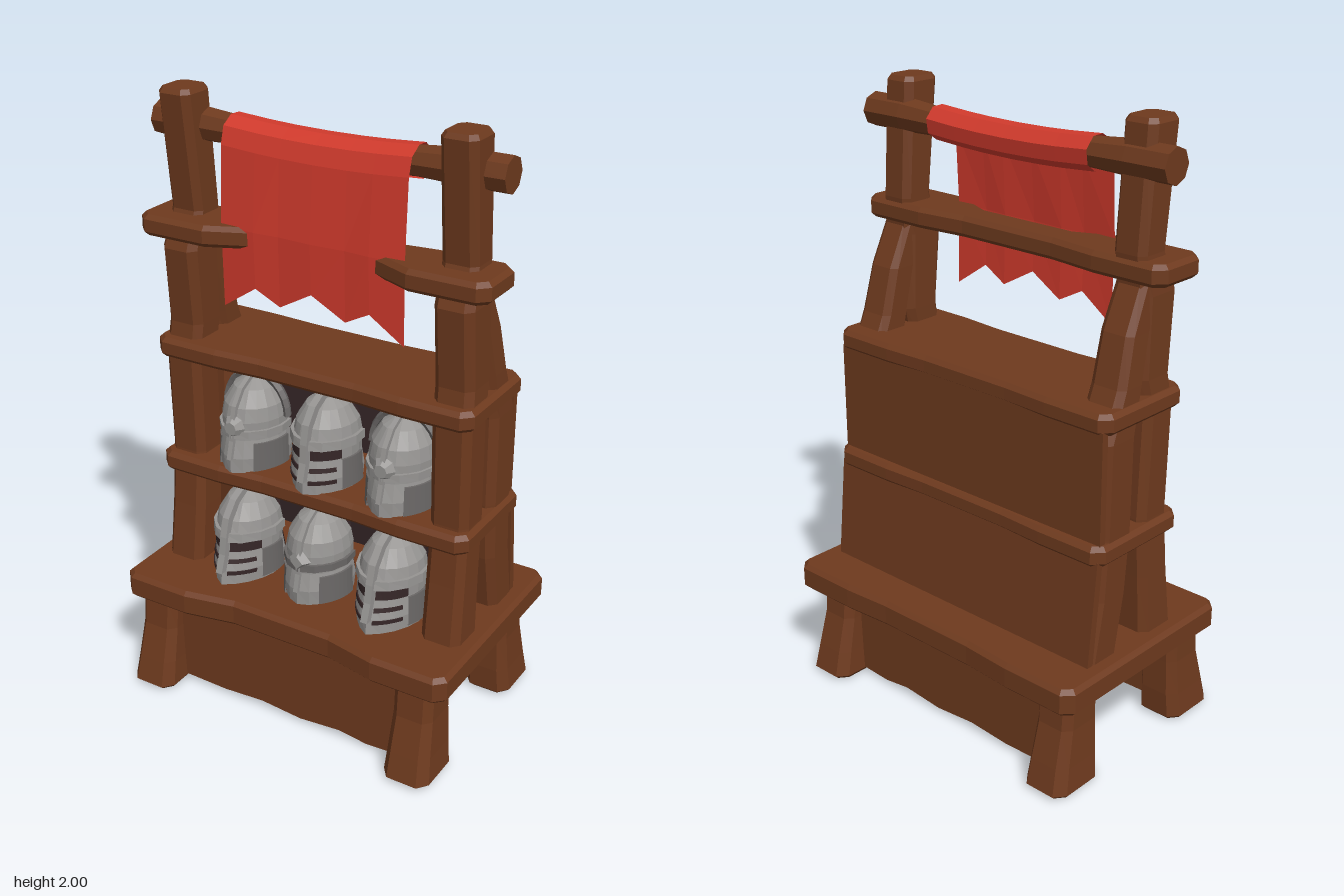
import * as THREE from 'three';

const wood = new THREE.MeshStandardMaterial({ color: 0x6e3a1e });
const cloth = new THREE.MeshStandardMaterial({ color: 0xd03a2c, side: THREE.DoubleSide });
const steel = new THREE.MeshStandardMaterial({ color: 0x969492, side: THREE.DoubleSide });
const darkSteel = new THREE.MeshStandardMaterial({ color: 0x6a6766, side: THREE.DoubleSide });
const shade = new THREE.MeshStandardMaterial({ color: 0x352627, side: THREE.DoubleSide });
wood.name = 'wood'; cloth.name = 'red cloth'; steel.name = 'steel';
darkSteel.name = 'dark steel'; shade.name = 'dark lining';

function add(parent, name, geometry, material) {
  const mesh = new THREE.Mesh(geometry, material);
  mesh.name = name;
  parent.add(mesh);
  return mesh;
}

function facet(g) {
  const flat = g.index ? g.toNonIndexed() : g;
  flat.computeVertexNormals();
  return flat;
}

function warp(g, rule) {
  const p = g.attributes.position, v = new THREE.Vector3();
  for (let i = 0; i < p.count; i++) {
    rule(v.fromBufferAttribute(p, i));
    p.setXYZ(i, v.x, v.y, v.z);
  }
  return g;
}

// Chamfered timber lofted through sections [y, x, z, halfX, halfZ]
function beam(sections) {
  const k = 0.65;
  const ring = [[1, -k], [1, k], [k, 1], [-k, 1], [-1, k], [-1, -k], [-k, -1], [k, -1]];
  const inset = (s, dy) => [s[0] + dy, s[1], s[2], s[3] * 0.85, s[4] * 0.85];
  const first = sections[0], last = sections[sections.length - 1];
  const all = [first, ...sections.map((s, i) => i === 0 ? inset(s, 0) : s)];
  all[0] = inset(first, 0);
  all[1] = [first[0] + 0.015, ...first.slice(1)];
  all[all.length - 1] = [last[0] - 0.015, ...last.slice(1)];
  all.push(inset(last, 0));
  const pos = [], index = [];
  all.forEach(([y, x, z, hx, hz]) => ring.forEach(([a, b]) => pos.push(x + a * hx, y, z + b * hz)));
  for (let i = 0; i < all.length - 1; i++) for (let j = 0; j < 8; j++) {
    const a = i * 8 + j, b = i * 8 + (j + 1) % 8;
    index.push(a, a + 8, b + 8, a, b + 8, b);
  }
  const t = (all.length - 1) * 8;
  for (let j = 1; j < 7; j++) index.push(t, t + j + 1, t + j, 0, j, j + 1);
  const g = new THREE.BufferGeometry();
  g.setAttribute('position', new THREE.Float32BufferAttribute(pos, 3));
  g.setIndex(index);
  return facet(g);
}

// Horizontal plank with bevelled edges and a narrowed middle
function plank(halfX, y0, y1, zBack, zFront, pinchBack, pinchFront) {
  const b = 0.014, x = halfX - b, f = zFront - b, r = zBack + b, c = 0.025, m = halfX * 0.3;
  const outline = [[-x, f - c], [-x + c, f], [-x * 0.6, f], [-m, f - pinchFront], [m, f - pinchFront],
    [x * 0.6, f], [x - c, f], [x, f - c], [x, r + c], [x - c, r], [x * 0.6, r], [m, r + pinchBack],
    [-m, r + pinchBack], [-x * 0.6, r], [-x + c, r], [-x, r + c]];
  const shape = new THREE.Shape(outline.map(([px, pz]) => new THREE.Vector2(px, -pz)));
  const g = new THREE.ExtrudeGeometry(shape, { depth: y1 - y0 - 2 * b, bevelSize: b, bevelThickness: b, bevelSegments: 1 });
  return g.rotateX(-Math.PI / 2).translate(0, y0 + b, 0);
}

// Upright panel with a ragged lower edge
function apron() {
  const s = new THREE.Shape([[-0.45, 0.33], [-0.45, 0.02], [-0.25, 0.015], [-0.1, 0.025], [0.05, 0.012],
    [0.2, 0.025], [0.3, 0.012], [0.45, 0.02], [0.45, 0.33]].map(p => new THREE.Vector2(...p)));
  return new THREE.ExtrudeGeometry(s, { depth: 0.03, bevelEnabled: false });
}

// Helmet surface: profile radius by height, with the front drawn to a keel
const HELM = [[0.108, 0], [0.113, 0.05], [0.104, 0.11], [0.106, 0.17], [0.098, 0.215], [0.068, 0.265], [0.03, 0.288], [0.001, 0.292]];
function radiusAt(y) {
  const i = Math.max(1, HELM.findIndex(p => p[1] >= y));
  const [r0, y0] = HELM[i - 1], [r1, y1] = HELM[i];
  return r0 + (r1 - r0) * (y - y0) / (y1 - y0);
}
const keel = (x, y, point) => point * Math.max(0, 1 - Math.abs(x) / 0.11) * Math.max(0, 1 - y / 0.29);

function shell(profile, start, length, segments, point) {
  const g = new THREE.LatheGeometry(profile.map(p => new THREE.Vector2(...p)), segments, start, length);
  warp(g, v => { v.z = v.z * 1.1 + (v.z > 0 ? keel(v.x, v.y, point) : 0); });
  return facet(g);
}

function band(y0, y1, out, start, length, point) {
  const a = radiusAt(y0), b = radiusAt(y1);
  return shell([[a, y0], [a + out, y0], [b + out, y1], [b, y1]], start, length, 8, point);
}

// Raised blade running down the front of the helmet
function crest(width, out, bottom, point) {
  const front = HELM.filter(p => p[1] >= bottom).map(([r, y]) =>
    new THREE.Vector2(r * 1.1 + keel(0, y, point) + out, y + (y > 0.2 ? out : 0)));
  const s = new THREE.Shape([new THREE.Vector2(-0.05, bottom), ...front,
    new THREE.Vector2(-0.06, 0.28 + out), new THREE.Vector2(-0.08, 0.24)]);
  return new THREE.ExtrudeGeometry(s, { depth: width, bevelEnabled: false })
    .rotateY(-Math.PI / 2).translate(width / 2, 0, 0);
}

function helmet(kind, point) {
  const g = new THREE.Group();
  g.name = kind + 'Helmet';
  const pi = Math.PI;
  add(g, 'helmetShell', shell(HELM, -0.65 * pi, 1.3 * pi, 12, point), steel);
  add(g, 'helmetBack', shell(HELM, 0.65 * pi, 0.7 * pi, 6, point), shade);
  if (kind === 'visored') {
    add(g, 'crest', crest(0.024, 0.018, 0.05, point), steel);
    add(g, 'browBand', band(0.15, 0.18, 0.012, -0.6 * pi, 1.2 * pi, point), steel);
    for (const s of [-1, 1]) {
      const from = (a, l) => s > 0 ? a : -a - l;
      add(g, 'eyeSlit', band(0.115, 0.148, 0.004, from(0.15, 0.85), 0.85, point), shade);
      for (const y of [0.035, 0.075]) add(g, 'breathSlit', band(y, y + 0.013, 0.004, from(0.15, 0.7), 0.7, point), shade);
      add(g, 'cheekPlate', band(0.01, 0.11, 0.007, from(1.0, 0.8), 0.8, point), darkSteel);
    }
  } else {
    const ringed = kind === 'ringed';
    add(g, 'ridge', crest(0.016, 0.01, 0.05, point), steel);
    add(g, 'browBand', band(0.12, 0.145, 0.01, -0.6 * pi, 1.2 * pi, point), ringed ? steel : darkSteel);
    const boss = new THREE.CylinderGeometry(0.022, 0.04, 0.025, ringed ? 8 : 4).rotateX(pi / 2);
    add(g, 'boss', facet(boss), steel).position.set(0, 0.155, 0.12 + point * 0.5);
    if (ringed) {
      const halo = new THREE.TorusGeometry(0.118, 0.011, 5, 14, pi).scale(1, 1.1, 1.6);
      add(g, 'sideComb', facet(halo), darkSteel).position.set(0, 0.17, -0.005);
    }
    for (const s of [-1, 1]) add(g, 'cheekPlate', band(0.005, 0.1, 0.007, s > 0 ? 0.6 : -1.7, 1.1, point), darkSteel);
  }
  return g;
}

export function createModel() {
  const model = new THREE.Group();
  model.name = 'helmetRack';

  // Splayed feet and uprights, mirrored left and right
  for (const s of [-1, 1]) {
    for (const f of [-1, 1]) add(model, f > 0 ? 'frontLeg' : 'backLeg', beam([[0, s * 0.49, f * 0.287, 0.08, 0.102],
      [0.1, s * 0.488, f * 0.275, 0.074, 0.094], [0.22, s * 0.486, f * 0.26, 0.068, 0.078], [0.34, s * 0.485, f * 0.255, 0.068, 0.074]]), wood);
    add(model, 'frontPost', beam([[0.37, s * 0.488, 0.098, 0.068, 0.076], [0.6, s * 0.485, 0.08, 0.066, 0.068],
      [0.8, s * 0.484, 0.065, 0.064, 0.066], [1.15, s * 0.484, 0.075, 0.066, 0.064], [1.25, s * 0.48, 0.055, 0.064, 0.069],
      [1.5, s * 0.478, 0.068, 0.064, 0.078], [1.62, s * 0.472, 0.04, 0.058, 0.06], [2, s * 0.474, 0.073, 0.058, 0.068]]), wood);
    add(model, 'backPost', beam([[0.37, s * 0.486, -0.172, 0.066, 0.07], [0.6, s * 0.486, -0.13, 0.066, 0.07],
      [0.8, s * 0.486, -0.113, 0.066, 0.072], [1.1, s * 0.486, -0.108, 0.066, 0.072], [1.25, s * 0.484, -0.062, 0.064, 0.052],
      [1.4, s * 0.48, -0.025, 0.06, 0.05], [1.55, s * 0.478, 0.03, 0.056, 0.04]]), wood);
  }

  // Shelves and the upper rail
  add(model, 'baseBoard', plank(0.602, 0.315, 0.405, -0.395, 0.353, 0.012, 0.035), wood);
  add(model, 'middleShelf', plank(0.565, 0.727, 0.793, -0.225, 0.17, 0.008, 0.012), wood);
  add(model, 'topShelf', plank(0.565, 1.137, 1.203, -0.205, 0.17, 0.008, 0.012), wood);
  add(model, 'upperRail', plank(0.602, 1.54, 1.608, -0.03, 0.178, 0.02, 0.075), wood);

  // Aprons below the base board
  add(model, 'frontApron', apron(), wood).position.z = 0.25;
  add(model, 'backApron', apron(), wood).position.z = -0.28;
  add(model, 'backApronLining', new THREE.BoxGeometry(0.86, 0.29, 0.006), shade).position.set(0, 0.18, -0.245);

  // Backing boards with a dark inner face
  for (const [y, z, w, h, tilt] of [[0.57, -0.217, 1.1, 0.35, 0.1], [0.965, -0.184, 1.09, 0.37, 0]]) {
    const panel = add(model, 'backBoard', new THREE.BoxGeometry(w, h, 0.024), wood);
    panel.position.set(0, y, z);
    panel.rotation.x = tilt;
    add(panel, 'backBoardLining', new THREE.BoxGeometry(w - 0.16, h, 0.006), shade).position.z = 0.014;
  }

  // Sagging banner pole
  const sag = x => 0.016 * (1 - Math.min(1, (x / 0.35) ** 2));
  const pole = new THREE.CylinderGeometry(0.055, 0.055, 1.19, 8, 8).rotateZ(Math.PI / 2);
  warp(pole, v => {
    const k = Math.abs(v.x) > 0.4 ? 1 : 0.84;
    v.y = 1.88 + v.y * k - sag(v.x);
    v.z = 0.03 + v.z * k;
  });
  add(model, 'bannerPole', facet(pole), wood);

  // Banner wrapped over the pole, with a ragged hem
  const xs = [-0.32, -0.2, -0.115, 0, 0.115, 0.2, 0.315];
  const hem = [1.34, 1.42, 1.375, 1.44, 1.375, 1.42, 1.34];
  const drape = [[1.825, 0.02], [1.85, -0.015], [1.895, -0.022], [1.928, 0.008], [1.93, 0.05], [1.905, 0.09], [1.85, 0.106], [1.6, 0.118]];
  const banner = new THREE.PlaneGeometry(6, 8, 6, 8);
  warp(banner, v => {
    const col = Math.round(v.x + 3), row = Math.round(4 - v.y);
    const [y, z] = row < 8 ? drape[row] : [hem[col], 0.112];
    v.set(xs[col], y - (row < 7 ? sag(xs[col]) : 0), z + (row > 6 ? 0.006 * (col % 2) : 0));
  });
  add(model, 'banner', facet(banner), cloth);

  // Two rows of helmets
  const rows = [[0.405, 0.07, ['visored', 'domed', 'visored'], [0.058, 0.025, 0.058]],
    [0.79, 0.02, ['ringed', 'visored', 'ringed'], [0.035, 0.035, 0.035]]];
  for (const [y, z, kinds, points] of rows) kinds.forEach((kind, i) => {
    const h = helmet(kind, points[i]);
    h.position.set((i - 1) * 0.275, y, z);
    model.add(h);
  });
  return model;
}
